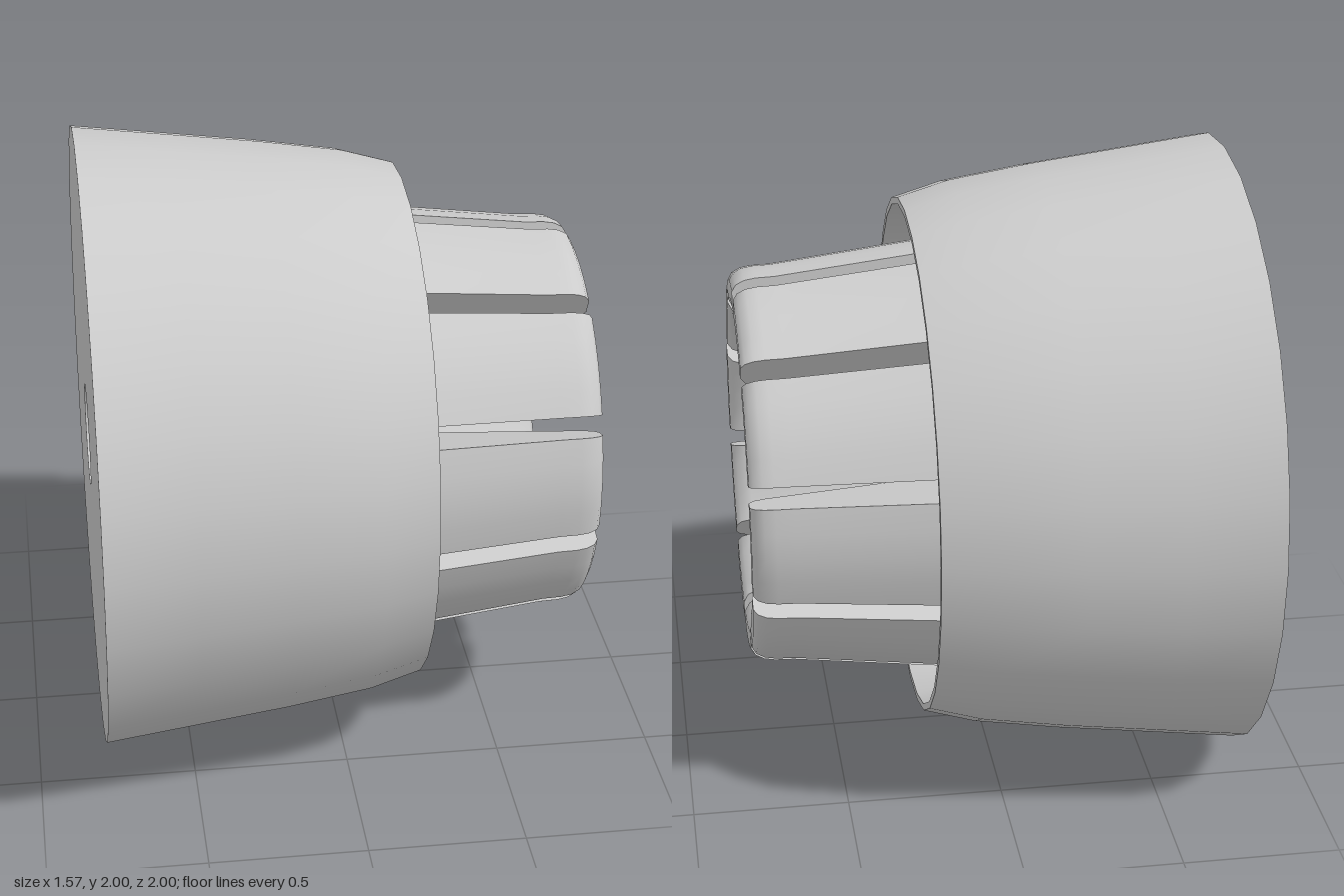
import * as THREE from 'three';
import { toCreasedNormals, mergeGeometries } from 'three/addons/utils/BufferGeometryUtils.js';

const SIDES = 28;
const FINGERS = 10;
const SLOT_FLOOR = -0.1;
const rad = THREE.MathUtils.degToRad;
const points = (list) => list.map(([r, y]) => new THREE.Vector2(r, y));

export function createModel() {
  const group = new THREE.Group();
  const material = new THREE.MeshStandardMaterial({ color: 0xcccccc });
  const doubleSided = new THREE.MeshStandardMaterial({ color: 0xcccccc, side: THREE.DoubleSide });

  // Everything is turned about y, then laid over so the axis runs along +x
  const turned = new THREE.Group();
  turned.name = 'turnedParts';
  turned.rotation.z = -Math.PI / 2;
  turned.position.y = 1;
  group.add(turned);

  // Tapered shell, bore, back face, annular groove and slot floor in one closed profile
  const bodyProfile = points([
    [0.165, -0.785], [1, -0.785], [0.965, -0.5], [0.928, -0.2], [0.887, 0.07], [0.84, 0.235],
    [0.818, 0.235], [0.805, 0.18], [0.785, 0], [0.77, -0.2],
    [0.742, -0.2], [0.728, SLOT_FLOOR], [0.25, SLOT_FLOOR], [0.165, -0.42], [0.165, -0.785],
  ]);
  const body = new THREE.Mesh(
    toCreasedNormals(new THREE.LatheGeometry(bodyProfile, SIDES), rad(35)), material);
  body.name = 'body';
  turned.add(body);

  // Finger cross-section: outer taper, rounded lip, inner cone
  const fingerProfile = points([
    [0.728, SLOT_FLOOR], [0.69, 0.235], [0.642, 0.65], [0.64, 0.71], [0.634, 0.745],
    [0.62, 0.772], [0.598, 0.785], [0.54, 0.785], [0.51, 0.77], [0.49, 0.73],
    [0.34, 0.2], [0.25, SLOT_FLOOR],
  ]);
  const capShape = new THREE.Shape(fingerProfile);

  // Ring of gripping fingers separated by wedge-shaped slots
  const step = (Math.PI * 2) / FINGERS;
  const slot = rad(6);
  const span = step - slot;
  const fingers = new THREE.Group();
  fingers.name = 'grippingFingers';
  turned.add(fingers);

  const skin = toCreasedNormals(new THREE.LatheGeometry(fingerProfile, 4, 0, span), rad(40));
  const caps = mergeGeometries([0, span].map((angle) =>
    new THREE.ShapeGeometry(capShape).rotateY(angle - Math.PI / 2)));

  for (let i = 0; i < FINGERS; i++) {
    const finger = new THREE.Group();
    finger.name = `finger${i + 1}`;
    finger.rotation.y = -Math.PI / 2 - rad(3) + slot / 2 + i * step;
    const surface = new THREE.Mesh(skin, material);
    surface.name = 'fingerSurface';
    const walls = new THREE.Mesh(caps, doubleSided);
    walls.name = 'slotWalls';
    finger.add(surface, walls);
    fingers.add(finger);
  }

  return group;
}
